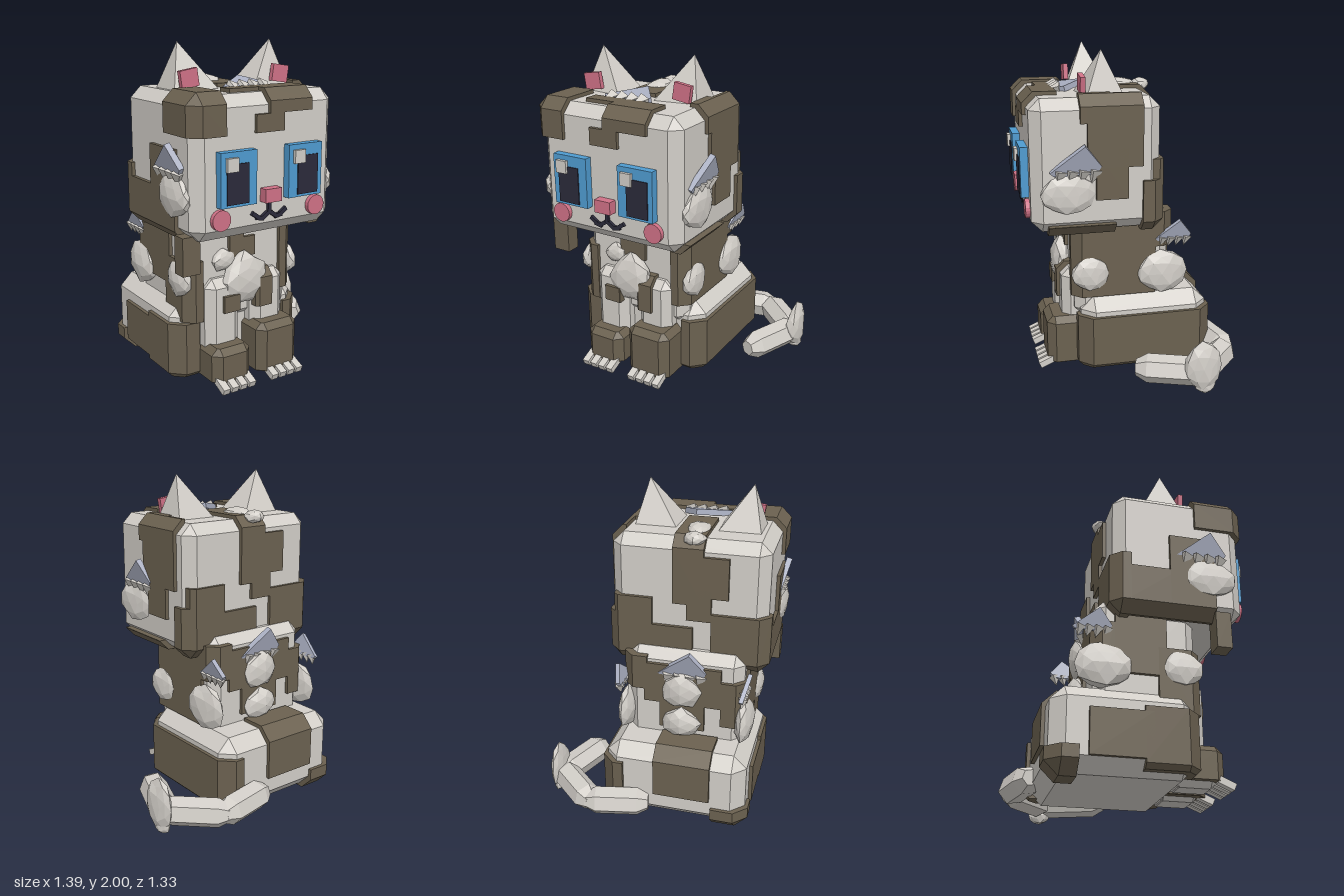
import * as THREE from 'three';
import { ConvexGeometry } from 'three/addons/geometries/ConvexGeometry.js';

const mat = (name, color) => Object.assign(new THREE.MeshStandardMaterial({ color }), { name });

// planes [nx, ny, nz, d] of a chamfered box [x0, x1, y0, y1, z0, z1]
function chamferPlanes(b, grow, bevel) {
  const c = [0, 2, 4].map(i => (b[i] + b[i + 1]) / 2);
  const h = [0, 2, 4].map(i => (b[i + 1] - b[i]) / 2 + grow);
  const planes = [];
  for (const x of [-1, 0, 1]) for (const y of [-1, 0, 1]) for (const z of [-1, 0, 1]) {
    const n = [x, y, z], k = Math.abs(x) + Math.abs(y) + Math.abs(z);
    if (!k) continue;
    let d = -(k - 1) * bevel;
    n.forEach((v, i) => { d += Math.abs(v) * h[i] + v * c[i]; });
    planes.push([x, y, z, d]);
  }
  return planes;
}

// convex solid bounded by planes
function solid(planes) {
  const pts = new Map(), m = new THREE.Matrix3(), n = planes.length;
  for (let i = 0; i < n; i++) for (let j = i + 1; j < n; j++) for (let k = j + 1; k < n; k++) {
    const [a, b, c] = [planes[i], planes[j], planes[k]];
    m.set(a[0], a[1], a[2], b[0], b[1], b[2], c[0], c[1], c[2]);
    if (Math.abs(m.determinant()) < 1e-6) continue;
    const p = new THREE.Vector3(a[3], b[3], c[3]).applyMatrix3(m.invert());
    if (planes.every(q => q[0] * p.x + q[1] * p.y + q[2] * p.z <= q[3] + 1e-5))
      pts.set(p.toArray().map(v => Math.round(v * 2000)).join(), p);
  }
  return new ConvexGeometry([...pts.values()]);
}

function flat(g) {
  const f = g.index ? g.toNonIndexed() : g;
  f.computeVertexNormals();
  return f;
}

export function createModel() {
  const white = mat('cream fur', 0xd2cec8), brown = mat('brown fur', 0x6b6150);
  const blue = mat('eye blue', 0x4f9bd0), dark = mat('dark', 0x2b2a3a);
  const pink = mat('pink', 0xcf7186), slate = mat('slate tuft', 0xa9aec0);
  const model = new THREE.Group();

  function add(name, geo, material, pos = [0, 0, 0], rot = [0, 0, 0], parent = model) {
    const mesh = new THREE.Mesh(geo, material);
    mesh.name = name;
    mesh.position.set(...pos);
    mesh.rotation.set(...rot);
    parent.add(mesh);
    return mesh;
  }
  const box = (name, b, material) => add(name,
    new THREE.BoxGeometry(b[1] - b[0], b[3] - b[2], b[5] - b[4]), material,
    [(b[0] + b[1]) / 2, (b[2] + b[3]) / 2, (b[4] + b[5]) / 2]);

  // chamfered block with raised brown patches that follow its bevels
  function block(name, b, bevel, patches) {
    add(name, solid(chamferPlanes(b, 0, bevel)), white);
    for (const p of patches) add(name + 'Patch',
      solid([...chamferPlanes(b, 0.022, bevel), ...chamferPlanes(p, 0, 0).filter(q =>
        Math.abs(q[0]) + Math.abs(q[1]) + Math.abs(q[2]) === 1)]), brown);
  }

  block('head', [-0.64, 0.305, 0.955, 1.74, -0.175, 0.595], 0.065, [
    [-0.26, -0.075, 1.66, 2, -0.4, 0.22],
    [-0.26, -0.075, 1.35, 2, -0.4, -0.1],
    [-0.41, -0.26, 1.4, 1.65, -0.4, -0.1],
    [-0.36, 0.115, 1.68, 2, 0.41, 0.5],
    [-0.17, 0.115, 1.63, 2, 0.5, 1],
    [-0.26, -0.075, 1.53, 1.63, 0.5, 1],
    [-1, -0.45, 1.53, 2, 0.31, 1],
    [0.24, 1, 1.34, 2, -0.06, 0.27],
    [0.21, 1, 1.6, 2, 0.12, 0.31],
    [0.24, 1, 1.15, 1.45, 0.03, 0.22],
    [0.05, 1, 0.9, 1.25, -1, -0.06],
    [0.05, 0.29, 1.2, 1.37, -1, -0.1],
    [-0.2, 0.06, 0.9, 1.2, -1, -0.1],
    [-0.31, -0.16, 1.25, 1.45, -1, -0.1],
    [-1, -0.31, 0.9, 1.3, -1, -0.08],
    [-1, -0.58, 0.9, 1.22, -0.1, 0.2],
    [-1, -0.58, 0.9, 1.45, 0.15, 0.42],
    [0.2, 1, 0.9, 1.0, 0.1, 0.5],
  ]);
  box('cheekFur', [-0.66, -0.55, 0.76, 0.98, 0.41, 0.5], brown);

  block('body', [-0.53, 0.19, 0.35, 1.06, -0.26, 0.33], 0.06, [
    [0.1, 1, 0.5, 1, -0.17, 1],
    [-1, -0.44, 0.4, 0.77, 0.1, 1],
    [-1, -0.45, 0.6, 0.98, -0.15, 0.15],
    [-0.26, -0.16, 0.7, 1, 0.2, 1],
    [-0.17, -0.08, 0.75, 0.87, 0.2, 1],
    [-0.4, 0.08, 0.72, 0.98, -1, -0.2],
    [-0.3, -0.02, 0.55, 0.74, -1, -0.2],
    [-1, -0.4, 0.6, 0.9, -1, -0.15],
    [0.06, 1, 0.8, 1.02, -1, -0.16],
  ]);

  block('haunches', [-0.6, 0.275, 0.02, 0.5, -0.5, 0.3], 0.08, [
    [0.155, 1, 0.05, 0.39, -1, 1],
    [-1, -0.45, 0.05, 0.39, 0.0, 1],
    [-1, -0.5, 0.1, 0.36, -0.3, 0.05],
    [-0.39, -0.04, 0.2, 1, -1, -0.28],
    [-1, -0.4, 0, 0.15, -1, -0.35],
  ]);

  // front legs and toes
  block('frontLegRight', [-0.435, -0.205, 0.03, 0.65, 0.18, 0.4], 0.05,
    [[-0.34, -0.23, 0.45, 0.55, 0.3, 1]]);
  block('frontLegLeft', [-0.12, 0.11, 0.03, 0.65, 0.18, 0.4], 0.05,
    [[-0.11, 0, 0.44, 1, 0.28, 1]]);
  block('frontPawRight', [-0.43, -0.21, 0.025, 0.25, 0.2, 0.48], 0.05, [[-1, 1, 0.06, 0.26, 0, 1]]);
  block('frontPawLeft', [-0.12, 0.13, 0.025, 0.34, 0.2, 0.48], 0.05, [[-1, 1, 0.05, 0.35, 0, 1]]);
  for (const x0 of [-0.435, -0.09]) for (let i = 0; i < 4; i++)
    add('toe', new THREE.BoxGeometry(0.045, 0.04, 0.1), white, [x0 + i * 0.06 + 0.02, 0.05, 0.51], [0.4, 0, 0]);

  // ears: lopsided pyramids with pink inner plates
  for (const s of [-1, 1]) {
    const x = s < 0 ? -0.415 : 0.08, apex = s < 0 ? -0.48 : 0.15;
    add('ear', new ConvexGeometry([
      [x - 0.14, 1.71, 0.02], [x + 0.14, 1.71, 0.02],
      [x - 0.145, 1.71, s < 0 ? 0.26 : 0.3], [x + 0.145, 1.71, s < 0 ? 0.3 : 0.26],
      [apex, 2, 0.155]].map(p => new THREE.Vector3(...p))), white);
    add('innerEar', new THREE.BoxGeometry(0.11, 0.1, 0.03), pink,
      [s < 0 ? -0.475 : 0.14, 1.805, 0.27], [0, 0, -s * 0.15]);
  }

  // face
  for (const [x, px, hx] of [[-0.39, -0.4, -0.44], [0.055, 0.07, 0.005]]) {
    box('eye', [x - 0.115, x + 0.115, 1.15, 1.45, 0.58, 0.642], blue);
    box('pupil', [px - 0.07, px + 0.07, 1.165, 1.385, 0.64, 0.648], dark);
    box('eyeShine', [hx - 0.036, hx + 0.036, 1.345, 1.42, 0.64, 0.662], white);
  }
  for (const x of [-0.487, 0.153])
    add('cheek', flat(new THREE.CylinderGeometry(0.058, 0.058, 0.04, 20)), pink, [x, 1.08, 0.602], [Math.PI / 2, 0, 0]);
  box('nose', [-0.22, -0.112, 1.145, 1.222, 0.58, 0.65], pink);
  box('mouthStem', [-0.177, -0.155, 1.07, 1.145, 0.58, 0.612], dark);
  for (const s of [-1, 1]) [[0.03, 1.065, -0.6], [0.063, 1.055, 0.2], [0.095, 1.075, 0.6]].forEach(([dx, y, r]) =>
    add('mouth', new THREE.BoxGeometry(0.05, 0.024, 0.03), dark, [-0.166 + s * dx, y, 0.598], [0, 0, s * r]));

  // faceted fur clumps
  function clump(pos, size) {
    const g = new THREE.IcosahedronGeometry(1, 1), p = g.attributes.position;
    for (let i = 0; i < p.count; i++) {
      const v = new THREE.Vector3().fromBufferAttribute(p, i);
      v.multiplyScalar(0.95 + 0.1 * Math.sin(Math.round(v.x * 50) * 1.7 + Math.round(v.y * 50) * 2.3 + Math.round(v.z * 50) * 3.1));
      p.setXYZ(i, v.x * size[0], v.y * size[1], v.z * size[2]);
    }
    add('furClump', flat(g), white, pos);
  }
  for (const s of [-1, 1]) {
    const side = d => -0.168 + s * d;
    clump([side(0.48), 1.19, 0.4], [0.045, 0.125, 0.17]);
    clump([side(0.375), 0.65, 0.25], [0.045, 0.11, 0.125]);
    clump([side(0.37), 0.63, -0.2], [0.06, 0.14, 0.17]);
  }
  clump([-0.17, 0.62, 0.37], [0.16, 0.17, 0.07]);
  clump([-0.3, 0.75, 0.34], [0.08, 0.07, 0.04]);
  clump([-0.19, 1.755, -0.01], [0.075, 0.04, 0.11]);
  clump([-0.2, 1.75, -0.16], [0.07, 0.04, 0.06]);
  clump([-0.16, 0.82, -0.28], [0.13, 0.12, 0.06]);
  clump([-0.16, 0.6, -0.28], [0.13, 0.1, 0.07]);
  clump([0.645, 0.18, -0.34], [0.05, 0.16, 0.12]);
  clump([0.64, 0.06, -0.36], [0.04, 0.055, 0.07]);

  // slanted slate blades with a row of points below
  const blade = new THREE.ExtrudeGeometry(new THREE.Shape([[-0.15, -0.06], [0.05, 0.1], [0.15, -0.03], [0.12, -0.08], [-0.13, -0.08]]
    .map(p => new THREE.Vector2(...p))), { depth: 0.035, bevelEnabled: false });
  const point = flat(new THREE.ConeGeometry(0.045, 0.09, 4));
  function tuft(pos, rot, scale = 1) {
    const g = new THREE.Group();
    g.name = 'furTuft';
    g.position.set(...pos);
    g.rotation.set(...rot);
    g.scale.setScalar(scale);
    add('tuftBlade', blade, slate, [0, 0, 0], [0.25, 0, 0], g);
    for (let i = 0; i < 4; i++)
      add('tuftPoint', point, white, [-0.1 + i * 0.068, -0.1, 0.005], [Math.PI, 0.4, 0.25], g);
    model.add(g);
  }
  for (const s of [-1, 1]) {
    tuft([-0.168 + s * 0.475, 1.39, 0.34], [0, s * Math.PI / 2, 0]);
    tuft([-0.168 + s * 0.37, 0.9, -0.28], [0, s * Math.PI / 2, 0], 0.75);
  }
  tuft([-0.17, 1.745, 0.31], [-Math.PI / 2, 0, 0]);
  tuft([-0.16, 0.99, -0.265], [0, Math.PI, 0]);

  // tail of overlapping six-sided links
  const path = [[0.02, -0.52], [0.35, -0.59], [0.61, -0.35], [0.48, -0.01]].map(p => new THREE.Vector3(p[0], 0.13, p[1]));
  for (let i = 0; i < 3; i++) {
    const d = path[i + 1].clone().sub(path[i]), h = d.length() / 2 + 0.03;
    const profile = [[0, -h], [0.05, -h], [0.088, -h + 0.07], [0.088, h - 0.07], [0.05, h], [0, h]];
    const link = add('tailLink', flat(new THREE.LatheGeometry(profile.map(p => new THREE.Vector2(...p)), 6)), white);
    link.position.copy(path[i]).addScaledVector(d, 0.5);
    link.quaternion.setFromUnitVectors(new THREE.Vector3(0, 1, 0), d.normalize());
  }
  return model;
}
